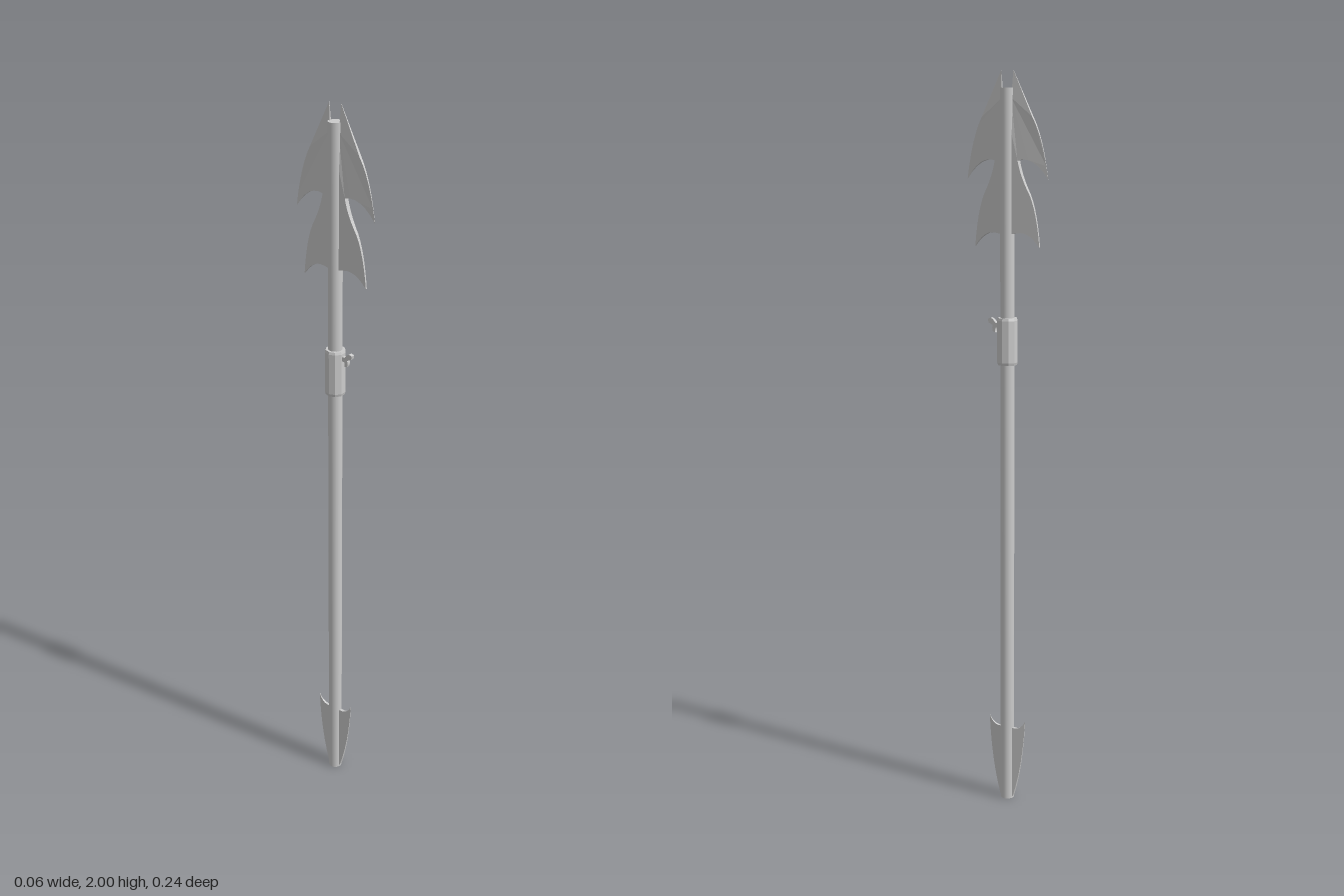
import * as THREE from 'three';

const material = new THREE.MeshStandardMaterial({ color: 0xcccccc });
const flatMaterial = new THREE.MeshStandardMaterial({ color: 0xcccccc, flatShading: true, side: THREE.DoubleSide });

function part(name, geometry, mat = material) {
  const mesh = new THREE.Mesh(geometry, mat);
  mesh.name = name;
  return mesh;
}

// Blade lying in the y-z plane, thick at the shaft and tapering to its edge
function bladeGeometry(shape, reach, top, thickness) {
  const geo = new THREE.ExtrudeGeometry(shape, { depth: 2, bevelEnabled: false, curveSegments: 6 });
  geo.translate(0, 0, -1).rotateY(-Math.PI / 2);
  const p = geo.attributes.position;
  for (let i = 0; i < p.count; i++) {
    const out = Math.max(0, (p.getZ(i) - 0.014) / (reach - 0.014));
    const half = Math.min(thickness * (1 - out), (top - p.getY(i)) * 0.06) + 0.0004;
    p.setX(i, p.getX(i) * half);
  }
  geo.computeVertexNormals();
  return geo;
}

// Front and back copies of a blade
function bladePair(name, geometry) {
  const pair = new THREE.Group();
  pair.name = name;
  for (const side of [0, 1]) {
    const blade = part(side ? 'backBlade' : 'frontBlade', geometry, flatMaterial);
    blade.rotation.y = side * Math.PI;
    pair.add(blade);
  }
  return pair;
}

export function createModel() {
  const model = new THREE.Group();
  model.name = 'harpoon';

  // Shaft
  const shaft = new THREE.CylinderGeometry(0.019, 0.019, 1.955, 16);
  shaft.translate(0, 0.9775, 0);
  model.add(part('shaft', shaft));

  // Collar with slightly eased rims
  const profile = [[0.018, 1.236], [0.026, 1.236], [0.028, 1.243], [0.028, 1.355], [0.026, 1.362], [0.018, 1.362]];
  const collar = new THREE.LatheGeometry(profile.map(([r, y]) => new THREE.Vector2(r, y)), 10);
  collar.rotateY(Math.PI / 2);
  model.add(part('collar', collar, flatMaterial));

  // Small forked catch on the collar
  const catchShape = new THREE.Shape();
  catchShape.moveTo(0.022, 1.336);
  catchShape.lineTo(0.033, 1.335);
  catchShape.quadraticCurveTo(0.036, 1.328, 0.034, 1.321);
  catchShape.lineTo(0.042, 1.324);
  catchShape.quadraticCurveTo(0.045, 1.333, 0.042, 1.341);
  catchShape.lineTo(0.055, 1.347);
  catchShape.lineTo(0.057, 1.357);
  catchShape.lineTo(0.048, 1.36);
  catchShape.quadraticCurveTo(0.038, 1.355, 0.034, 1.347);
  catchShape.lineTo(0.022, 1.348);
  const catchGeo = new THREE.ExtrudeGeometry(catchShape, { depth: 0.011, bevelEnabled: false, curveSegments: 4 });
  catchGeo.translate(0, 0, -0.0055).rotateY(-Math.PI / 2);
  model.add(part('collarCatch', catchGeo, flatMaterial));

  // Upper barbs, rising past the end of the shaft
  const upper = new THREE.Shape();
  upper.moveTo(0.014, 1.76);
  upper.lineTo(0.034, 1.772);
  upper.quadraticCurveTo(0.08, 1.785, 0.121, 1.724);
  upper.quadraticCurveTo(0.106, 1.83, 0.075, 1.882);
  upper.lineTo(0.018, 2.0);
  upper.lineTo(0.014, 1.93);
  upper.lineTo(0.014, 1.85);
  model.add(bladePair('upperBarbs', bladeGeometry(upper, 0.121, 2.0, 0.008)));

  // Lower barbs
  const lower = new THREE.Shape();
  lower.moveTo(0.014, 1.582);
  lower.lineTo(0.032, 1.585);
  lower.quadraticCurveTo(0.066, 1.592, 0.097, 1.549);
  lower.quadraticCurveTo(0.089, 1.64, 0.068, 1.685);
  lower.quadraticCurveTo(0.042, 1.73, 0.034, 1.772);
  lower.lineTo(0.014, 1.79);
  lower.lineTo(0.014, 1.68);
  model.add(bladePair('lowerBarbs', bladeGeometry(lower, 0.121, 2.0, 0.008)));

  // Tail fins at the foot of the shaft
  const fin = new THREE.Shape();
  fin.moveTo(0.014, 0.004);
  fin.lineTo(0.02, 0.006);
  fin.quadraticCurveTo(0.05, 0.1, 0.057, 0.235);
  fin.quadraticCurveTo(0.046, 0.212, 0.03, 0.21);
  fin.lineTo(0.014, 0.21);
  fin.lineTo(0.014, 0.1);
  model.add(bladePair('tailFins', bladeGeometry(fin, 0.06, 2.0, 0.005)));

  return model;
}
